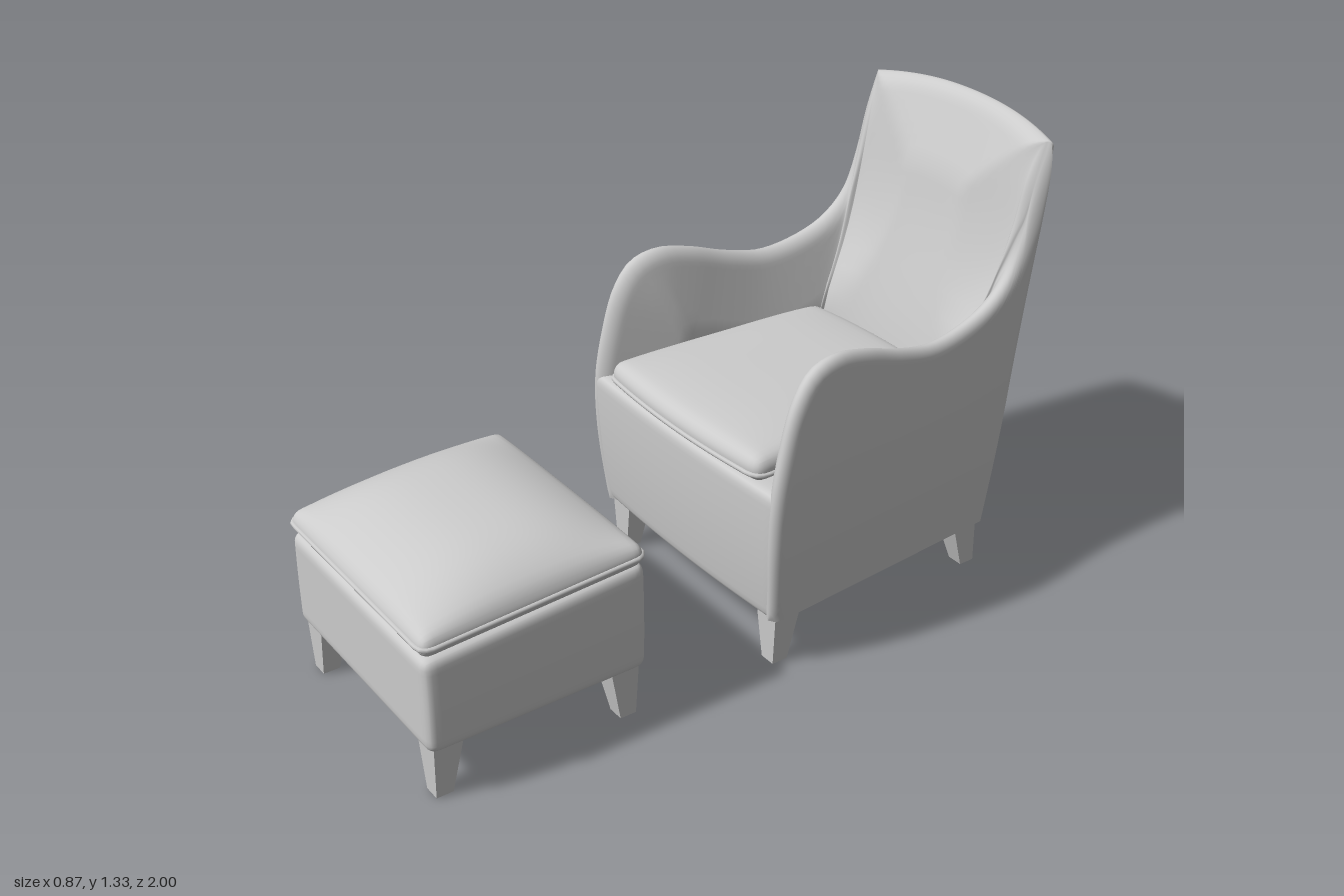
import * as THREE from 'three';
import { mergeVertices } from 'three/addons/utils/BufferGeometryUtils.js';

const { clamp, lerp, smoothstep } = THREE.MathUtils;
const V = (x, y, z) => new THREE.Vector3(x, y, z);
const material = new THREE.MeshStandardMaterial({ color: 0xcccccc, side: THREE.DoubleSide });

function add(group, name, geometry) {
  const mesh = new THREE.Mesh(geometry, material);
  mesh.name = name;
  group.add(mesh);
}

// Rounded block, dense towards its edges; warp(p, n) reshapes it, n being the position in -1..1
function block(w, h, d, r, warp) {
  const half = V(w / 2, h / 2, d / 2);
  const inner = half.clone().subScalar(r);
  const box = new THREE.BoxGeometry(2, 2, 2, 26, 20, 26);
  const pos = box.attributes.position;
  const p = V(), c = V(), n = V();
  for (let i = 0; i < pos.count; i++) {
    p.fromBufferAttribute(pos, i);
    p.set(...p.toArray().map((v) => Math.sin(v * Math.PI / 2))).multiply(half);
    c.copy(p).clamp(inner.clone().negate(), inner);
    p.sub(c).setLength(r).add(c);
    n.copy(p).divide(half);
    warp(p, n);
    pos.setXYZ(i, p.x, p.y, p.z);
  }
  box.deleteAttribute('uv');
  box.deleteAttribute('normal');
  const merged = mergeVertices(box, 1e-5);
  merged.computeVertexNormals();
  return merged;
}

// Piping round a rounded rectangle, reshaped by the same warp as its cushion
function piping(w, d, r, warp) {
  const x = w / 2 - r, z = d / 2 - r, q = Math.PI / 2;
  const outline = new THREE.Shape();
  [[x, z], [-x, z], [-x, -z], [x, -z]].forEach(([cx, cz], i) =>
    outline.absarc(cx, cz, r, i * q, (i + 1) * q, false));
  outline.closePath();
  const points = outline.getSpacedPoints(100).slice(0, -1).map((o) => {
    const p = V(o.x, 0, o.y);
    warp(p, V(2 * o.x / w, 0, 2 * o.y / d));
    return p;
  });
  return new THREE.TubeGeometry(new THREE.CatmullRomCurve3(points, true), 160, 0.007, 8, true);
}

// Square leg tapering from its top centre to its bottom centre
function leg(x0, z0, x1, z1) {
  const g = new THREE.BoxGeometry(1, 1, 1);
  const pos = g.attributes.position;
  for (let i = 0; i < pos.count; i++) {
    const top = pos.getY(i) > 0;
    const s = top ? 0.085 : 0.048;
    pos.setXYZ(i, (top ? x0 : x1) + pos.getX(i) * s, top ? 0.17 : 0, (top ? z0 : z1) + pos.getZ(i) * s);
  }
  g.computeVertexNormals();
  return g;
}

// Outer half width of the chair at a given depth and height
const halfWidth = (z, y) =>
  0.37 + 0.065 * clamp((z + 0.85) / 0.85, 0, 1) - 0.03 * Math.max(0, (0.6 - y) / 0.45) ** 2;

// Arms and back as one upholstered wall: fibres run from the floor line up to the rim and down inside
function chairShell() {
  const SIDE = 64, BACK = 40, ROWS = 26, BASE = 0.155;
  const profile = [
    [-0.01, 0.155], [0.01, 0.4], [0.008, 0.55], [-0.015, 0.68], [-0.055, 0.81], [-0.11, 0.882],
    [-0.19, 0.905], [-0.3, 0.885], [-0.42, 0.845], [-0.54, 0.82], [-0.66, 0.835], [-0.76, 0.875],
    [-0.83, 0.94], [-0.88, 1.05], [-0.915, 1.18], [-0.955, 1.29],
  ];
  const rimCurve = new THREE.CatmullRomCurve3(profile.map(([z, y]) => V(0, y, z)));
  const side = rimCurve.getSpacedPoints(SIDE).map((p, k) => ({
    sx: 1, y: p.y, z: p.z, baseZ: lerp(-0.01, -0.81, k / SIDE), inX: 1, inZ: smoothstep(k / SIDE, 0.75, 1),
  }));
  const stations = [...side];
  for (let k = 1; k < BACK; k++) {
    const sx = Math.cos(Math.PI * k / BACK);
    const bow = 1 - Math.abs(sx) ** 2.5;
    stations.push({
      sx, y: 1.29 + 0.035 * (1 - sx * sx), z: -0.955 - 0.042 * bow, baseZ: -0.81 - 0.042 * bow,
      inX: Math.abs(sx), inZ: 1,
    });
  }
  side.slice().reverse().forEach((s) => stations.push({ ...s, sx: -1 }));

  const at = (s, t) => {
    const y = lerp(BASE, s.y, t), z = lerp(s.baseZ, s.z, t ** 1.4);
    return V(s.sx * halfWidth(z, y), y, z);
  };
  const rim = stations.map((s) => at(s, 1));
  const line = new THREE.Line3(), near = V();
  const rimDistance = (p) => {
    let best = Infinity;
    for (let i = 1; i < rim.length; i++) {
      line.set(rim[i - 1], rim[i]).closestPointToPoint(p, true, near);
      best = Math.min(best, near.distanceTo(p));
    }
    return best;
  };

  const verts = [], index = [], N = 2 * ROWS + 1;
  stations.forEach((s, i) => {
    const outer = [], inner = [];
    for (let j = 0; j <= ROWS; j++) {
      const p = at(s, 1 - (1 - j / ROWS) ** 2);
      const e = rimDistance(p);
      const round = Math.sqrt(1 - (1 - Math.min(e / 0.035, 1)) ** 2);
      const lean = 0.06 * s.inZ * (1 - smoothstep(p.y, 0.5, 1.1)) * Math.min(e / 0.2, 1);
      const move = (dx, dz) => [p.x - Math.sign(s.sx) * s.inX * dx, p.y, p.z + s.inZ * dz];
      const a = 0.025 * (1 - round);
      const b = 0.025 + 0.025 * round + 0.055 * Math.min(e / 0.22, 1);
      outer.push(move(a, a * 0.6));
      inner.unshift(move(b, b - 0.01 + lean));
    }
    inner[0] = outer[ROWS];
    verts.push(...outer.flat(), ...inner.slice(1).flat());
    if (i === 0) return;
    for (let j = 0; j < N - 1; j++) {
      const q = i * N + j, o = q - N;
      index.push(o, q, q + 1, o, q + 1, o + 1);
    }
  });
  const g = new THREE.BufferGeometry();
  g.setAttribute('position', new THREE.Float32BufferAttribute(verts, 3));
  g.setIndex(index);
  g.computeVertexNormals();
  return g;
}

function armchair() {
  const chair = new THREE.Group();
  chair.name = 'armchair';
  add(chair, 'armsAndBack', chairShell());

  // Seat base fills the space between the arms and forms the bowed front
  add(chair, 'seatBase', block(0.86, 0.41, 0.8, 0.025, (p, n) => {
    p.y += 0.355;
    const front = 0.008 - 0.025 * ((0.5 - p.y) / 0.35) ** 2 + 0.015 * (1 - n.x * n.x);
    const back = -0.8 - 0.035 * (1 - n.x * n.x);
    p.z = lerp(back, front, (n.z + 1) / 2);
    p.x = n.x * (halfWidth(p.z, p.y) - 0.004);
  }));

  // Loose seat cushion, narrower at the back
  const shape = (p, n) => {
    p.x *= lerp(0.9, 1, (n.z + 1) / 2);
    if (n.y > 0) p.y += 0.022 * n.y * (1 - n.x ** 4) * (1 - n.z ** 4);
    p.z += -0.35 + 0.022 * n.z * (1 - n.x * n.x);
    p.y += 0.593;
  };
  add(chair, 'seatCushion', block(0.69, 0.075, 0.71, 0.036, shape));
  add(chair, 'seatCushionPiping', piping(0.69, 0.71, 0.036, (p, n) => { shape(p, n); p.y -= 0.01; }));

  for (const s of [1, -1]) {
    add(chair, 'frontLeg', leg(s * 0.347, -0.072, s * 0.352, -0.058));
    add(chair, 'rearLeg', leg(s * 0.282, -0.765, s * 0.285, -0.802));
  }
  return chair;
}

function footstool() {
  const stool = new THREE.Group();
  stool.name = 'footstool';
  const Z = 0.678;
  add(stool, 'stoolBase', block(0.725, 0.3, 0.636, 0.03, (p, n) => {
    p.y += 0.298 - 0.022 * n.z * (n.y + 1) / 2;
    p.x *= 1 - 0.012 * n.y * n.y;
    p.z += Z;
  }));

  // Domed cushion, tilted slightly forward
  const shape = (p, n) => {
    if (n.y > 0) p.y += 0.08 * n.y * (1 - n.x ** 4) * (1 - Math.abs(n.z) ** 2.4);
    p.y += 0.475 - 0.016 * n.z;
    p.z += Z;
  };
  add(stool, 'stoolCushion', block(0.715, 0.062, 0.636, 0.03, shape));
  add(stool, 'stoolCushionPiping', piping(0.715, 0.636, 0.03, shape));

  for (const s of [1, -1]) {
    add(stool, 'frontLeg', leg(s * 0.305, 0.938, s * 0.31, 0.952));
    add(stool, 'rearLeg', leg(s * 0.305, 0.424, s * 0.31, 0.408));
  }
  return stool;
}

export function createModel() {
  const model = new THREE.Group();
  model.name = 'armchairWithFootstool';
  model.add(armchair(), footstool());
  return model;
}
